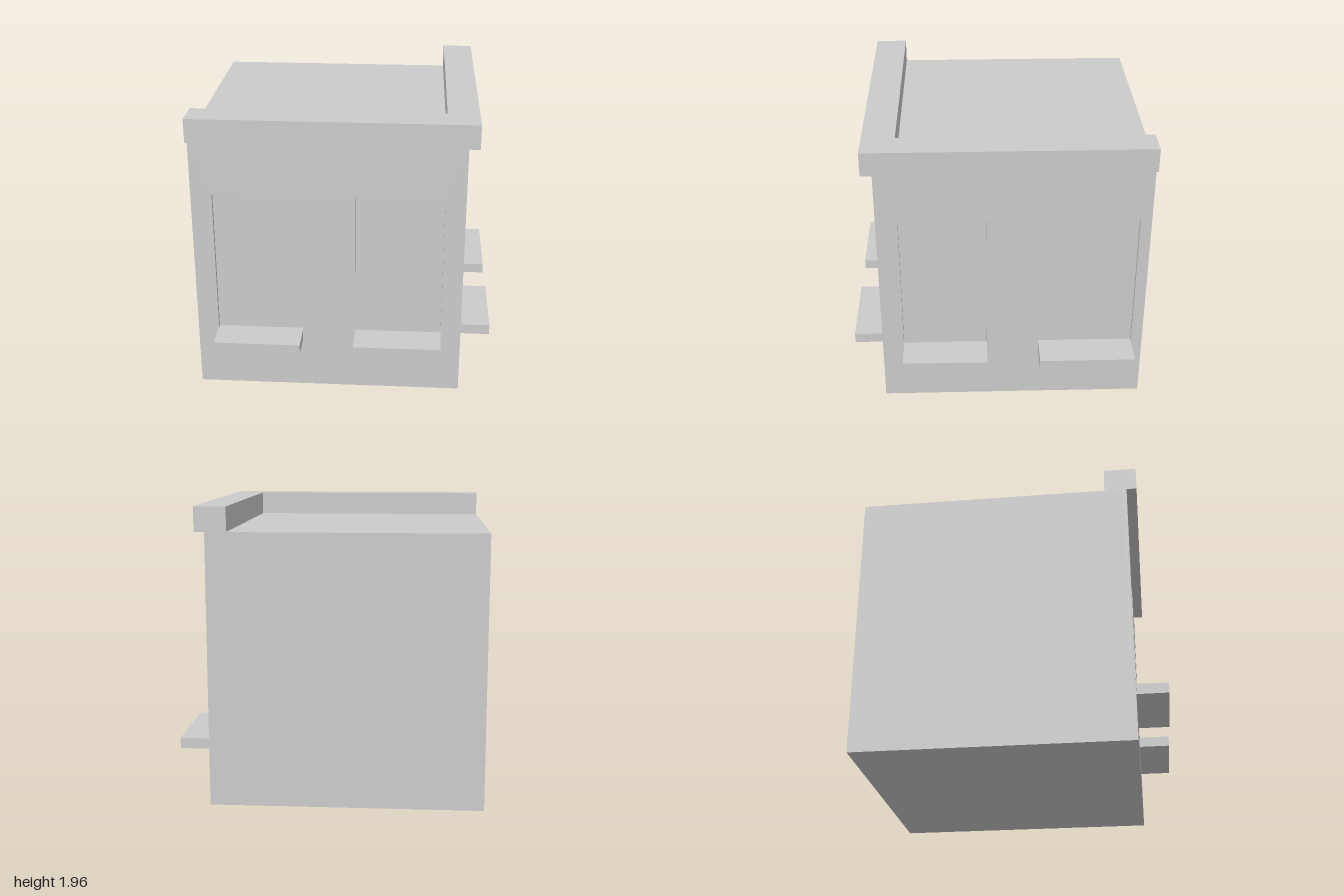
import * as THREE from 'three';

const FACE = 0.795;      // outer plane of the two window walls
const RECESS = 0.027;    // depth of the window niches
const EAVE = 1.8, TOP = 1.96;
const SILL_Y = 0.43, SILL_H = 0.07, HEAD_Y = 1.42;
const FRONT_WINDOWS = [[-0.86, -0.28], [0.077, 0.66]];     // spans along x
const SIDE_WINDOWS = [[-0.925, -0.28], [0.077, 0.65]];     // spans along z

const material = new THREE.MeshStandardMaterial({ color: 0xcccccc, flatShading: true });

function add(parent, name, geometry) {
  const mesh = new THREE.Mesh(geometry, material);
  mesh.name = name;
  parent.add(mesh);
  return mesh;
}

// Box given by its minimum and maximum corners
function boxBetween(a, b) {
  const g = new THREE.BoxGeometry(b[0] - a[0], b[1] - a[1], b[2] - a[2]);
  return g.translate((a[0] + b[0]) / 2, (a[1] + b[1]) / 2, (a[2] + b[2]) / 2);
}

function rectangle(path, x0, y0, x1, y1) {
  return path.moveTo(x0, y0).lineTo(x1, y0).lineTo(x1, y1).lineTo(x0, y1).closePath();
}

// Upright wall skin from u0 to u1 with window openings, extruded along +z
function wallSkin(u0, u1, windows) {
  const shape = rectangle(new THREE.Shape(), u0, 0, u1, EAVE);
  for (const [a, b] of windows) {
    shape.holes.push(rectangle(new THREE.Path(), a, SILL_Y, b, HEAD_Y));
  }
  const g = new THREE.ExtrudeGeometry(shape, { depth: RECESS, bevelEnabled: false });
  return g.translate(0, 0, FACE - RECESS);
}

export function createModel() {
  const model = new THREE.Group();
  model.name = 'cornerBuilding';

  // Solid core; its front and side form the window panes, its top the roof
  const inner = FACE - RECESS;
  add(model, 'core', boxBetween([-1, 0, -1], [inner, EAVE, inner]));

  // Front wall faces +z; the side wall is turned to face +x, so u becomes -z
  add(model, 'frontWall', wallSkin(-1, FACE, FRONT_WINDOWS));
  const mirrored = SIDE_WINDOWS.map(([a, b]) => [-b, -a]);
  add(model, 'sideWall', wallSkin(-inner, 1, mirrored).rotateY(Math.PI / 2));

  // Window sills
  const y0 = SILL_Y - SILL_H;
  for (const [a, b] of FRONT_WINDOWS) {
    add(model, 'frontSill', boxBetween([a, y0, FACE], [b, SILL_Y, 1]));
  }
  for (const [a, b] of SIDE_WINDOWS) {
    add(model, 'sideSill', boxBetween([FACE, y0, a], [1, SILL_Y, b]));
  }

  // L-shaped parapet cornice along the two window walls (shape y = -z)
  const out = 0.862, inX = 0.655, inZ = 0.647;
  const plan = [[-1, -out], [out, -out], [out, 1], [inX, 1], [inX, -inZ], [-1, -inZ]];
  const cornice = new THREE.ExtrudeGeometry(
    new THREE.Shape(plan.map(([x, y]) => new THREE.Vector2(x, y))),
    { depth: TOP - EAVE, bevelEnabled: false });
  add(model, 'cornice', cornice.rotateX(-Math.PI / 2).translate(0, EAVE, 0));

  return model;
}
